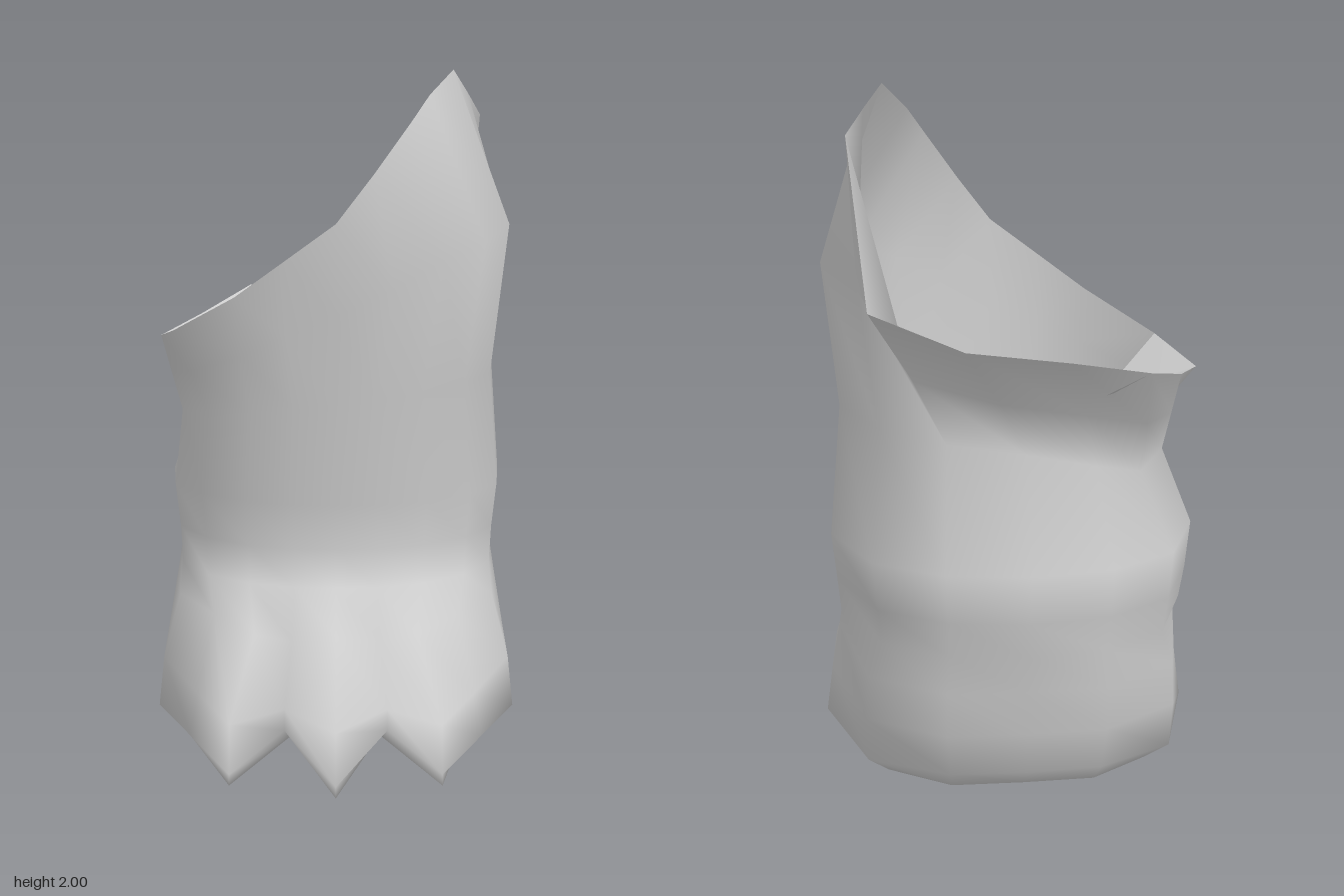
import * as THREE from 'three';

const material = new THREE.MeshStandardMaterial({ color: 0xcccccc, side: THREE.DoubleSide });

// Foot cross-sections, half outline [x, y, z] from front toe round to heel
const SOLE = [[0, 0, .775], [.13, .04, .42], [.3, 0, .69], [.36, 0, .42], [.41, 0, .18],
  [.43, 0, -.1], [.39, 0, -.44], [.21, 0, -.56], [0, 0, -.565]];
const EDGE = [[0, .03, .77], [.15, .09, .51], [.3, .03, .685], [.43, .05, .45], [.55, .05, .2],
  [.57, .05, -.1], [.45, .06, -.49], [.22, .07, -.63], [0, .07, -.64]];
const TOES = [[0, .17, .73], [.15, .15, .5], [.3, .16, .645], [.41, .17, .42], [.535, .2, .18],
  [.55, .2, -.1], [.455, .2, -.51], [.23, .2, -.655], [0, .2, -.665]];
const INSTEP = [[0, .36, .47], [.13, .33, .42], [.24, .35, .42], [.37, .37, .28], [.49, .38, .1],
  [.525, .37, -.17], [.445, .34, -.53], [.23, .34, -.68], [0, .34, -.69]];

// Slanted, torn opening, all the way round
const RIM = [[0, 1.55, .35], [.11, 1.69, .3], [.22, 1.84, .24], [.28, 1.92, .1],
  [.36, 2, -.04], [.42, 1.935, -.22], [.475, 1.87, -.39], [.43, 1.41, -.59],
  [.18, 1.33, -.75], [-.1, 1.3, -.77], [-.31, 1.27, -.775], [-.46, 1.2, -.48],
  [-.57, 1.16, -.2], [-.5, 1.21, .08], [-.3, 1.33, .26], [-.15, 1.44, .31]];

// Inner edge of the turned-in lip along the low side of the rim
const LIP = [[-.2, 1.2, -.72], [-.2, 1.14, -.5], [-.3, 1.1, -.2], [-.43, 1.12, .05]];

const ANGLES = [0, 12, 28, 48, 70, 95, 130, 157, 180];

// Half outline to a full ring of 16 points
function mirror(half) {
  const other = half.slice(1, -1).reverse().map(([x, y, z]) => [-x, y, z]);
  return [...half, ...other];
}

// Oval ring of the leg; a lower power makes it boxier
function oval(y, halfWidth, front, back, power = 0.9) {
  const soft = v => Math.sign(v) * Math.abs(v) ** power;
  return mirror(ANGLES.map(a => {
    const t = THREE.MathUtils.degToRad(a);
    return [halfWidth * soft(Math.sin(t)), y,
      (front + back) / 2 + (front - back) / 2 * soft(Math.cos(t))];
  }));
}

// Surface through a stack of rings, closed or open
function loft(rings, closed) {
  const n = rings[0].length, index = [];
  for (let j = 0; j < rings.length - 1; j++) {
    for (let i = 0; i < (closed ? n : n - 1); i++) {
      const a = j * n + i, b = j * n + (i + 1) % n;
      index.push(a, b, a + n, b, b + n, a + n);
    }
  }
  const geometry = new THREE.BufferGeometry();
  geometry.setAttribute('position', new THREE.Float32BufferAttribute(rings.flat(2), 3));
  geometry.setIndex(index);
  geometry.computeVertexNormals();
  return geometry;
}

function addMesh(group, name, geometry) {
  const mesh = new THREE.Mesh(geometry, material);
  mesh.name = name;
  group.add(mesh);
}

export function createModel() {
  const group = new THREE.Group();
  group.name = 'clawedBoot';

  // Neck below the cuff, slightly pinched at the low back corner
  const pinch = { 9: .02, 10: .05, 11: .04 };
  const neck = oval(1.01, .51, .285, -.61).map(([x, y, z], i) =>
    [x + (pinch[i] || 0), y + .12 * x - (pinch[i] || 0), z]);

  // Ring between neck and rim: bulges where the rim is tall, flares straight where low
  const bulge = oval(0, .555, .32, -.66, .75);
  const upper = RIM.map((r, i) => {
    const tall = THREE.MathUtils.smoothstep(r[1], 1.2, 1.8);
    const mix = k => THREE.MathUtils.lerp((neck[i][k] + r[k]) / 2, bulge[i][k], tall);
    return [mix(0), (neck[i][1] + r[1]) / 2, mix(2)];
  });

  const sole = mirror(SOLE);
  addMesh(group, 'bootShell', loft([
    sole, mirror(EDGE), mirror(TOES), mirror(INSTEP),
    oval(.45, .52, .28, -.71), oval(.56, .53, .245, -.735), oval(.7, .545, .255, -.74),
    neck, upper, RIM
  ], true));

  addMesh(group, 'cuffLip', loft([RIM.slice(10, 14), LIP], false));

  // Underside, arched between the claws
  const soleGeometry = new THREE.ShapeGeometry(
    new THREE.Shape(sole.map(([x, , z]) => new THREE.Vector2(x, z))));
  soleGeometry.rotateX(Math.PI / 2);
  const p = soleGeometry.attributes.position;
  for (let i = 0; i < p.count; i++) {
    const match = sole.find(([x, , z]) => Math.hypot(x - p.getX(i), z - p.getZ(i)) < 1e-4);
    if (match) p.setY(i, match[1]);
  }
  soleGeometry.computeVertexNormals();
  addMesh(group, 'sole', soleGeometry);

  return group;
}
